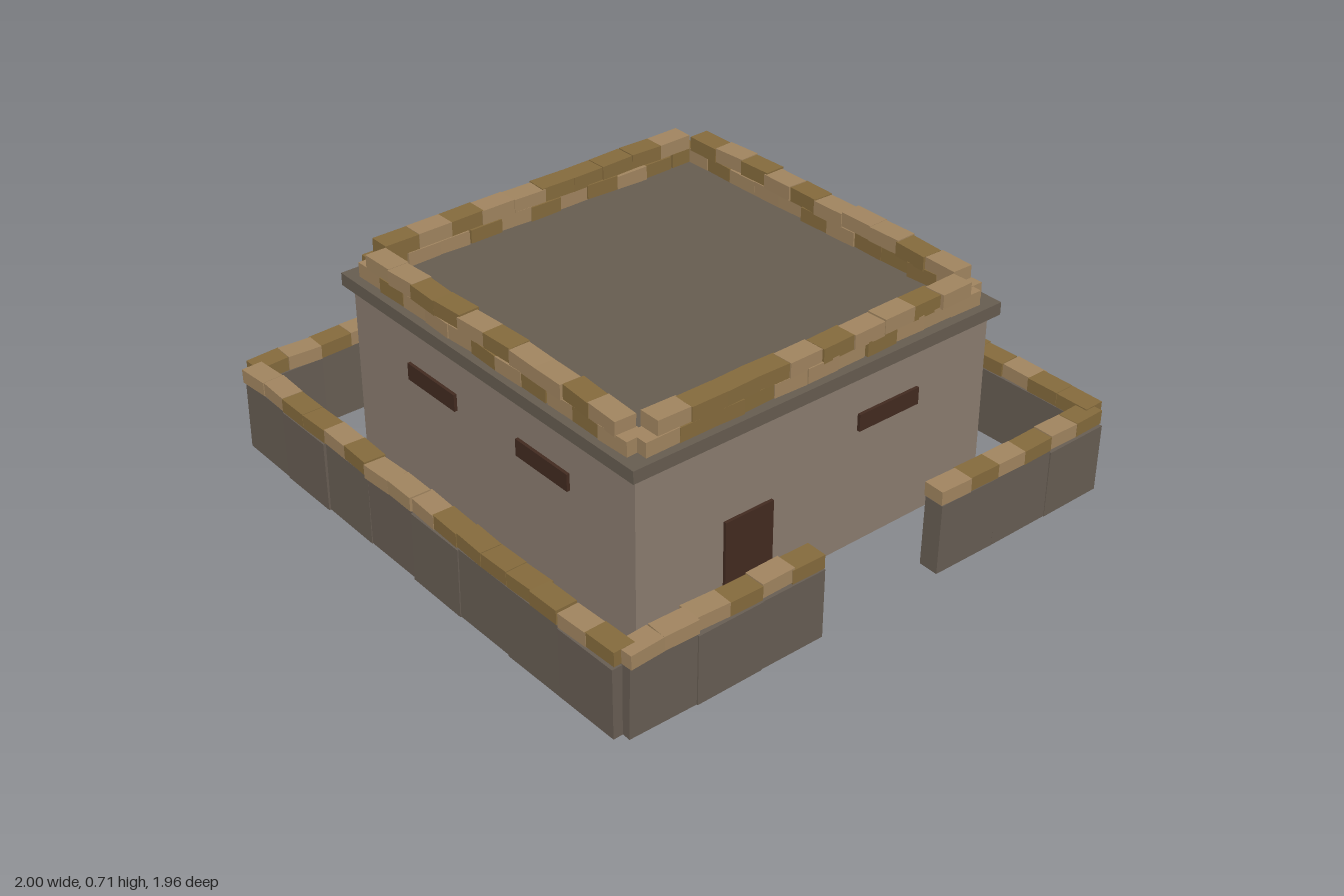
import * as THREE from 'three';

const mat = (color) => new THREE.MeshStandardMaterial({ color, flatShading: true });
const CX = 0.085, CZ = 0.066; // centre of the compound

// small seeded generator, values in -1..1
let seed = 7;
const jitter = (amount) => {
  seed = (seed * 16807) % 2147483647;
  return (seed / 2147483647 * 2 - 1) * amount;
};

function box(parent, name, size, pos, material) {
  const mesh = new THREE.Mesh(new THREE.BoxGeometry(...size), material);
  mesh.name = name;
  mesh.position.set(...pos);
  parent.add(mesh);
  return mesh;
}

// A square ring: build(side, i, offset) is called for each slot on four sides.
// Each side group has +z pointing outwards: 0 front, 1 right, 2 back, 3 left.
function ring(parent, name, count, unit, build) {
  const group = new THREE.Group();
  group.name = name;
  group.position.set(CX, 0, CZ);
  for (let s = 0; s < 4; s++) {
    const side = new THREE.Group();
    side.name = name + ['Front', 'Right', 'Back', 'Left'][s];
    side.rotation.y = s * Math.PI / 2;
    for (let i = 0; i < count; i++) build(side, s, (i - (count - 1) / 2) * unit, i);
    group.add(side);
  }
  parent.add(group);
}

export function createModel() {
  seed = 7;
  const model = new THREE.Group();
  model.name = 'bunker';
  const plaster = mat(0x8a7c6f), concrete = mat(0x665c50), panel = mat(0x675d53);
  const dark = mat(0x422a20), bags = [mat(0xa0845f), mat(0x846a3c)];

  // main block and overhanging roof slab
  box(model, 'blockhouse', [1.28, 0.565, 1.28], [CX, 0.3025, CZ], plaster);
  box(model, 'roofSlab', [1.33, 0.04, 1.33], [CX, 0.602, CZ], concrete);

  // firing slits, with a door in place of one on the right
  ring(model, 'opening', 2, 0.51, (side, s, x, i) => {
    if (s === 1 && i === 0) box(side, 'door', [0.17, 0.29, 0.02], [x, 0.165, 0.64], dark);
    else box(side, 'firingSlit', [0.226, 0.054, 0.02], [x, 0.425, 0.64], dark);
  });

  // rows of uneven sandbags
  const bagRow = (name, count, unit, out, y, height, skip = () => false) =>
    ring(model, name, count, unit, (side, s, x, i) => {
      if (skip(s, x)) return;
      const bag = box(side, 'sandbag', [unit * 1.02, height, 0.068],
        [x + jitter(0.004), y + jitter(0.003), out + jitter(0.004)],
        bags[(i + (jitter(1) > 0.5 ? 1 : 0)) % 2]);
      bag.rotation.set(0, jitter(0.05), jitter(0.03));
    });
  bagRow('lowerParapet', 11, 0.11, 0.605, 0.645, 0.046);
  bagRow('upperParapet', 10, 0.113, 0.605, 0.69, 0.046);

  // perimeter wall with an entrance gap on the right
  const gap = (s, x) => s === 1 && Math.abs(x) < 0.2175;
  ring(model, 'perimeterWall', 8, 0.2175, (side, s, x) => {
    if (gap(s, x)) return;
    const height = 0.225 + jitter(0.006);
    const piece = box(side, 'wallPanel', [0.2185, height, 0.064],
      [x, 0.024 + height / 2, 0.87 + jitter(0.004)], panel);
    piece.rotation.set(jitter(0.015), jitter(0.012), jitter(0.006));
  });
  bagRow('wallSandbags', 16, 0.10875, 0.87, 0.275, 0.044, gap);

  // loose slabs outside the wall
  const left = box(model, 'leftRubble', [0.2, 0.167, 0.047], [-0.898, 0.105, -0.361], plaster);
  left.rotation.y = 0.15;
  const back = box(model, 'backRubble', [0.195, 0.165, 0.055], [0.365, 0.09, -0.908], plaster);
  back.rotation.set(0.5, 0.12, 0, 'YXZ');

  return model;
}
